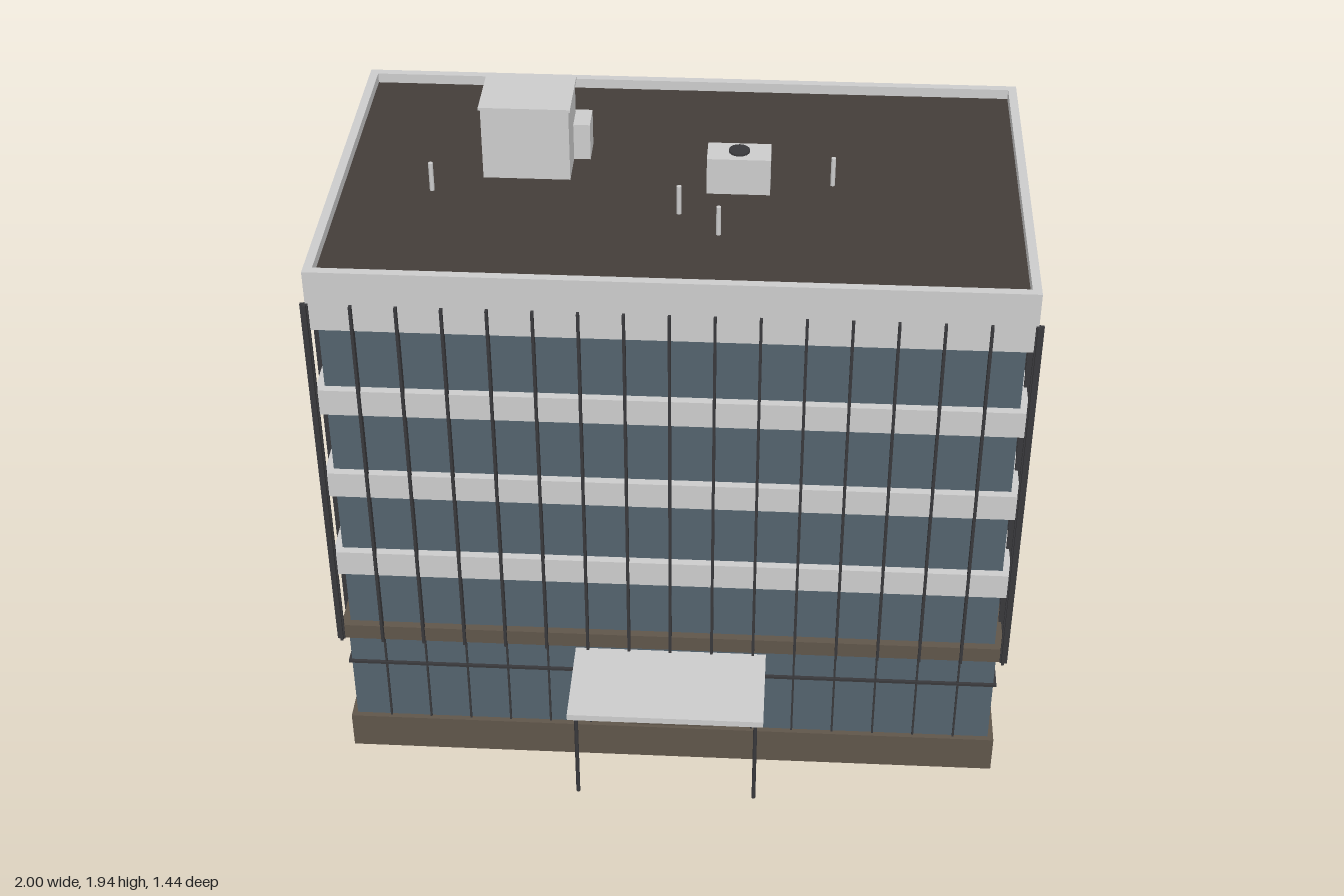
import * as THREE from 'three';

const mat = (color) => new THREE.MeshStandardMaterial({ color });
const concrete = mat(0xcccccc), glass = mat(0x53626d), brown = mat(0x5f554a);
const roofing = mat(0x433d39), metal = mat(0x38383b);

// Building footprint: half width, half depth and centre in z
const HX = 0.985, HZ = 0.577, CZ = -0.132;
const BAYS_X = 16, BAYS_Z = 9;

export function createModel() {
  const model = new THREE.Group();
  model.name = 'officeBuilding';

  // Box given by its lower and upper limits
  function box(name, material, x0, x1, y0, y1, z0, z1, parent = model) {
    const mesh = new THREE.Mesh(new THREE.BoxGeometry(x1 - x0, y1 - y0, z1 - z0), material);
    mesh.position.set((x0 + x1) / 2, (y0 + y1) / 2, (z0 + z1) / 2);
    mesh.name = name;
    parent.add(mesh);
    return mesh;
  }
  // Full storey block, inset from the footprint
  const storey = (name, material, y0, y1, inset = 0) =>
    box(name, material, -HX + inset, HX - inset, y0, y1, CZ - HZ + inset, CZ + HZ - inset);

  function cylinder(name, material, r, x, y0, y1, z, sides = 10) {
    const mesh = new THREE.Mesh(new THREE.CylinderGeometry(r, r, y1 - y0, sides), material);
    mesh.position.set(x, (y0 + y1) / 2, z);
    mesh.name = name;
    model.add(mesh);
  }

  // Plinth, ground floor, glazed tower and floor bands
  storey('plinth', brown, 0, 0.12);
  storey('groundFloorGlass', glass, 0.12, 0.44, 0.017);
  storey('groundFloorBand', brown, 0.44, 0.49);
  storey('towerGlass', glass, 0.49, 1.56, 0.024);
  for (const y of [0.69, 0.98, 1.27]) storey('floorBand', concrete, y, y + 0.082);

  // Parapet ring around the recessed roof
  const ring = new THREE.Shape();
  const rect = (path, x, z) =>
    path.moveTo(-x, -z).lineTo(x, -z).lineTo(x, z).lineTo(-x, z).closePath();
  rect(ring, HX, HZ);
  const hole = new THREE.Path();
  rect(hole, HX - 0.025, HZ - 0.025);
  ring.holes.push(hole);
  const parapet = new THREE.Mesh(
    new THREE.ExtrudeGeometry(ring, { depth: 0.185, bevelEnabled: false }), concrete);
  parapet.rotation.x = -Math.PI / 2;
  parapet.position.set(0, 1.555, CZ);
  parapet.name = 'parapet';
  model.add(parapet);
  storey('roof', roofing, 1.556, 1.71, 0.024);

  // Vertical members repeated along all four walls
  function wallBars(name, y0, y1, inner, outer, halfWidth) {
    const group = new THREE.Group();
    group.name = name + 's';
    model.add(group);
    for (const s of [-1, 1]) {
      for (let i = 0; i <= BAYS_X; i++) {
        const x = -HX + (2 * HX * i) / BAYS_X;
        const a = CZ + s * (HZ + inner), b = CZ + s * (HZ + outer);
        box(name, metal, x - halfWidth, x + halfWidth, y0, y1, Math.min(a, b), Math.max(a, b), group);
      }
      for (let i = 0; i <= BAYS_Z; i++) {
        const z = CZ - HZ + (2 * HZ * i) / BAYS_Z;
        const a = s * (HX + inner), b = s * (HX + outer);
        box(name, metal, Math.min(a, b), Math.max(a, b), y0, y1, z - halfWidth, z + halfWidth, group);
      }
    }
  }
  wallBars('facadeFin', 0.44, 1.64, -0.008, 0.014, 0.004);

  // Ground floor mullions stay inside the corners
  for (const s of [-1, 1]) {
    for (let i = 1; i < BAYS_X; i++) {
      const x = -HX + (2 * HX * i) / BAYS_X, z = CZ + s * (HZ - 0.015);
      box('mullion', metal, x - 0.003, x + 0.003, 0.12, 0.44, z - 0.004, z + 0.004);
    }
    for (let i = 1; i < BAYS_Z; i++) {
      const z = CZ - HZ + (2 * HZ * i) / BAYS_Z, x = s * (HX - 0.015);
      box('mullion', metal, x - 0.004, x + 0.004, 0.12, 0.44, z - 0.003, z + 0.003);
    }
  }
  storey('transomRail', metal, 0.332, 0.34, 0.008);

  // Entrance door and canopy on two posts
  box('entranceDoor', brown, -0.13, 0.13, 0.12, 0.33, 0.42, 0.435);
  box('canopy', concrete, -0.285, 0.285, 0.4, 0.42, 0.42, 0.72);
  for (const x of [-0.262, 0.262]) cylinder('canopyPost', metal, 0.006, x, 0.085, 0.4, 0.69);

  // Rooftop stair house with its lid, side unit and ventilation unit
  box('stairHouse', concrete, -0.568, -0.318, 1.71, 1.93, -0.33, -0.13);
  box('stairHouseLid', concrete, -0.573, -0.313, 1.928, 1.937, -0.336, -0.126);
  box('sideUnit', concrete, -0.445, -0.27, 1.71, 1.822, -0.342, -0.25);
  box('ventilationUnit', concrete, 0.075, 0.255, 1.71, 1.822, -0.17, -0.075);
  cylinder('fanCover', metal, 0.03, 0.165, 1.82, 1.828, -0.124, 16);

  // Slim vent pipes
  for (const [x, z] of [[-0.705, -0.052], [0.003, 0.037], [0.118, 0.142], [0.432, -0.142]])
    cylinder('ventPipe', concrete, 0.007, x, 1.71, 1.798, z);

  return model;
}
